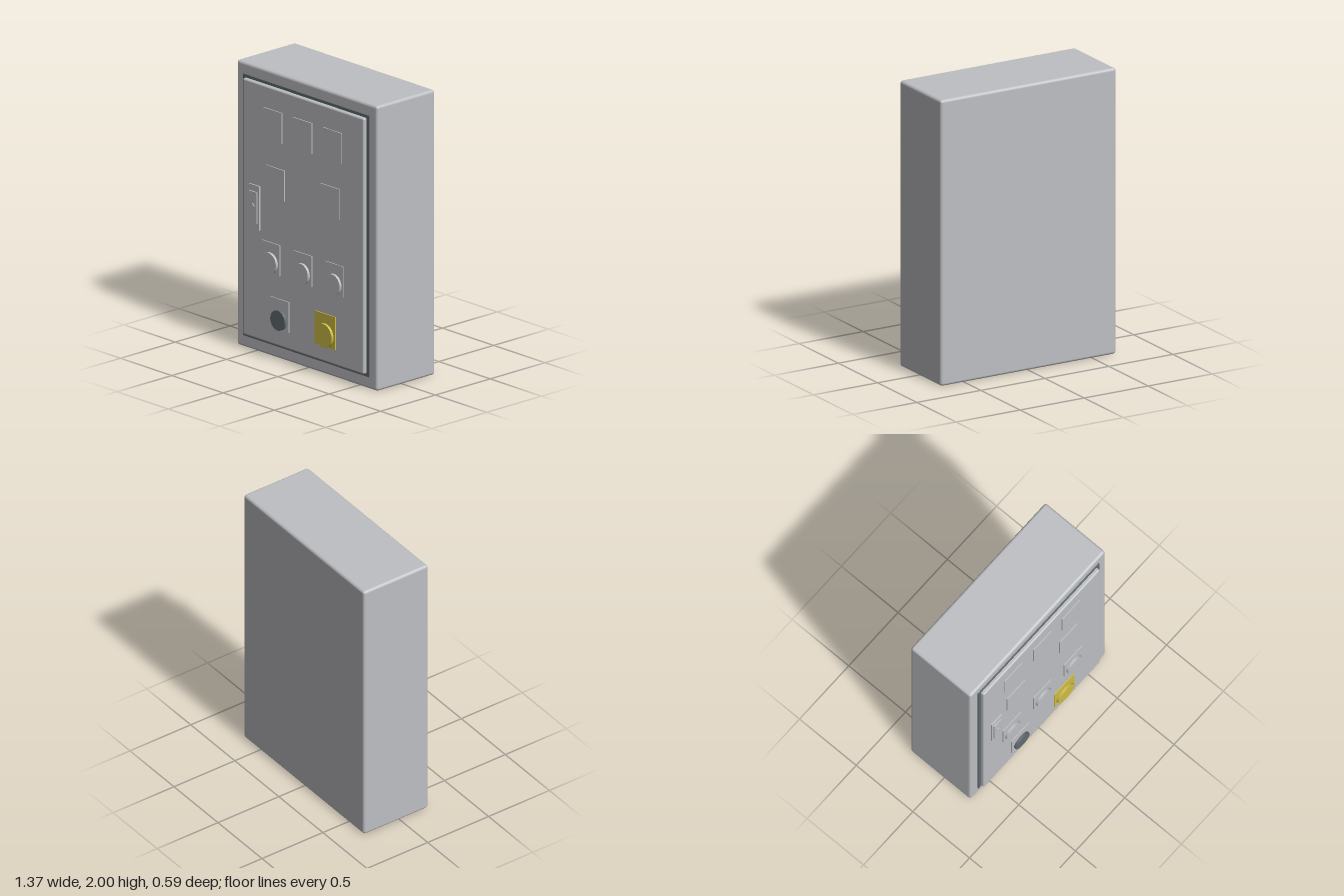
import * as THREE from 'three';
import { RoundedBoxGeometry } from 'three/addons/geometries/RoundedBoxGeometry.js';

const paint = (name, color) => {
  const m = new THREE.MeshStandardMaterial({ color });
  m.name = name;
  return m;
};

export function createModel() {
  const grey = paint('light grey', 0xbebfc3);
  const dark = paint('dark grey', 0x626c70);
  const yellow = paint('yellow', 0xcdbd45);
  const group = new THREE.Group();
  group.name = 'controlCabinet';

  // Box between two corners, optionally with rounded edges
  function box(name, mat, [x0, x1], [y0, y1], [z0, z1], radius = 0) {
    const size = [x1 - x0, y1 - y0, z1 - z0];
    const geo = radius
      ? new RoundedBoxGeometry(...size, 3, radius)
      : new THREE.BoxGeometry(...size);
    const mesh = new THREE.Mesh(geo, mat);
    mesh.name = name;
    mesh.position.set((x0 + x1) / 2, (y0 + y1) / 2, (z0 + z1) / 2);
    group.add(mesh);
  }

  // Round knob facing the front
  function knob(name, mat, x, y, r, z0, z1) {
    const geo = new THREE.CylinderGeometry(r, r, z1 - z0, 40).rotateX(Math.PI / 2);
    const mesh = new THREE.Mesh(geo, mat);
    mesh.name = name;
    mesh.position.set(x, y, (z0 + z1) / 2);
    group.add(mesh);
  }

  // Enclosure, door seal and door
  box('enclosure', grey, [-0.685, 0.685], [0, 2], [-0.295, 0.235], 0.02);
  box('doorSeal', dark, [-0.613, 0.613], [0.085, 1.92], [0.2, 0.243]);
  box('door', grey, [-0.59, 0.59], [0.105, 1.9], [0.22, 0.27], 0.012);

  // Meters: three above, two below
  const plate = [0.265, 0.277];
  for (const x of [-0.293, 0, 0.29])
    box('upperMeter', grey, [x - 0.09, x + 0.09], [1.533, 1.748], plate);
  for (const x of [-0.268, 0.265])
    box('lowerMeter', grey, [x - 0.09, x + 0.09], [1.135, 1.35], plate);

  // Row of push buttons on plates
  for (const x of [-0.311, 0, 0.309]) {
    box('buttonPlate', grey, [x - 0.09, x + 0.09], [0.6, 0.815], plate);
    knob('button', grey, x, 0.673, 0.073, 0.27, 0.296);
  }

  // Selector switch and emergency stop
  box('selectorPlate', grey, [-0.315, -0.135], [0.222, 0.438], plate);
  knob('selector', dark, -0.223, 0.293, 0.07, 0.27, 0.296);
  box('stopPlate', yellow, [0.12, 0.32], [0.213, 0.443], plate);
  knob('stopButton', yellow, 0.221, 0.294, 0.083, 0.27, 0.296);

  // Door handle with its lock
  box('handlePlate', grey, [-0.518, -0.416], [0.873, 1.182], [0.265, 0.281]);
  box('handleGrip', grey, [-0.505, -0.435], [0.918, 1.138], [0.27, 0.29]);
  knob('handleLock', grey, -0.47, 1.04, 0.017, 0.28, 0.297);

  return group;
}
